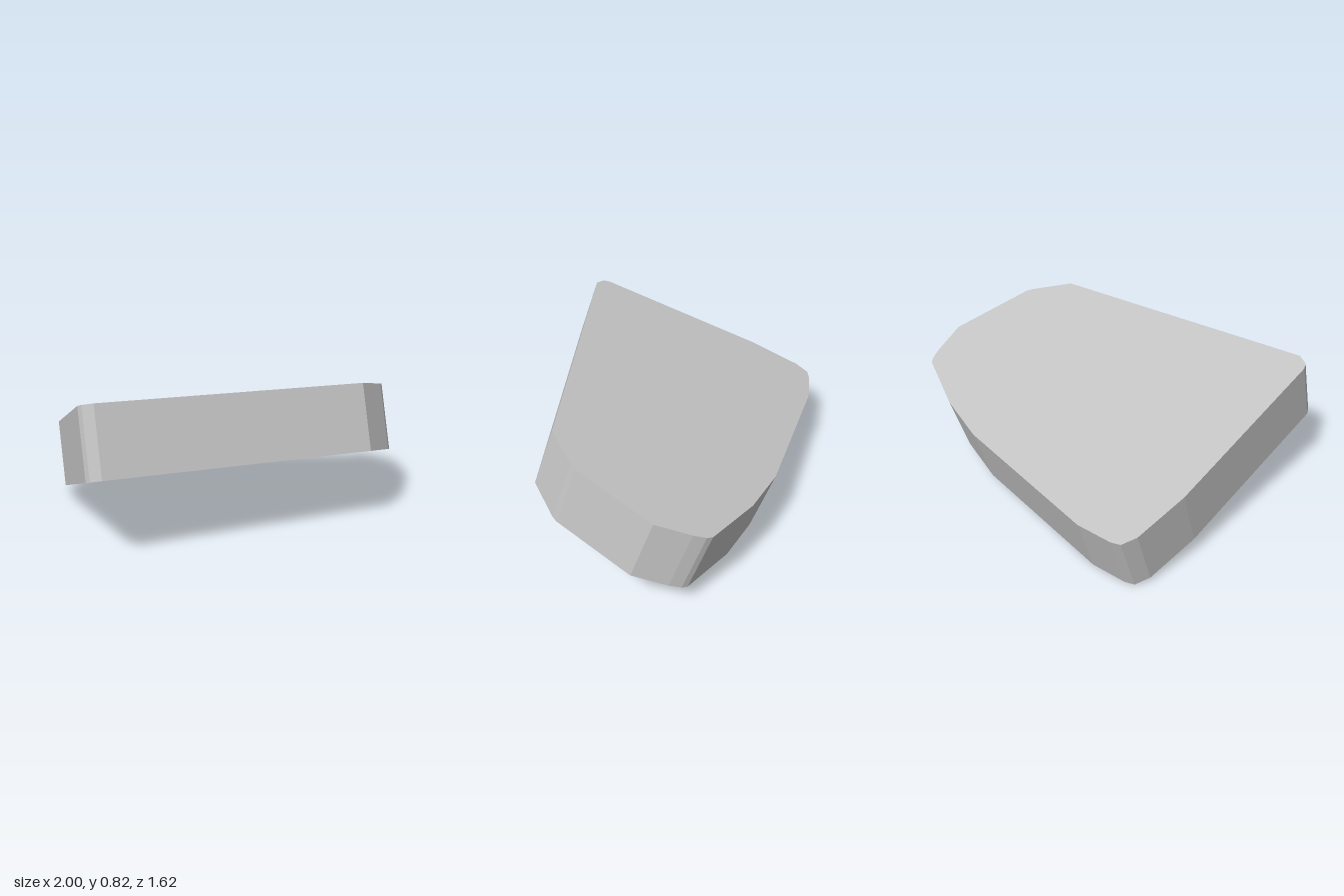
import * as THREE from 'three';

// Outline of the slab's upper face, as seen from above (x, z)
const OUTLINE = [
  [-0.80, 0.69], [-0.86, 0.67], [-0.88, 0.64], [-1.0, -0.32], [-1.0, -0.62],
  [-0.97, -0.70], [-0.92, -0.725], [-0.72, -0.774], [0.18, -0.815], [0.49, -0.78],
  [0.85, -0.683], [0.875, -0.66], [0.906, -0.60], [0.97, -0.415],
  [0.88, 0.04], [0.863, 0.07], [0.70, 0.255],
];

export function createModel() {
  const group = new THREE.Group();
  group.name = 'stoneSlab';

  const stone = new THREE.MeshStandardMaterial({ color: 0xc4c4c4 });
  stone.name = 'pale grey stone';

  // Flat prism, one unit deep, ending at the upper face
  const shape = new THREE.Shape(OUTLINE.map(([x, z]) => new THREE.Vector2(x, -z)));
  const geometry = new THREE.ExtrudeGeometry(shape, { depth: 1, bevelEnabled: false });
  geometry.translate(0, 0, -1);

  // Tilt it: the upper face rises to the front, the thickness runs along its normal
  const across = new THREE.Vector3(1, 0.068, 0);
  const back = new THREE.Vector3(0, -0.315, -1);
  const thickness = new THREE.Vector3(-0.025, 0.365, -0.115);
  geometry.applyMatrix4(
    new THREE.Matrix4().makeBasis(across, back, thickness).setPosition(0, 0.662, 0)
  );
  geometry.computeBoundingBox();
  geometry.translate(0, -geometry.boundingBox.min.y, 0);

  const slab = new THREE.Mesh(geometry, stone);
  slab.name = 'slab';
  group.add(slab);
  return group;
}
